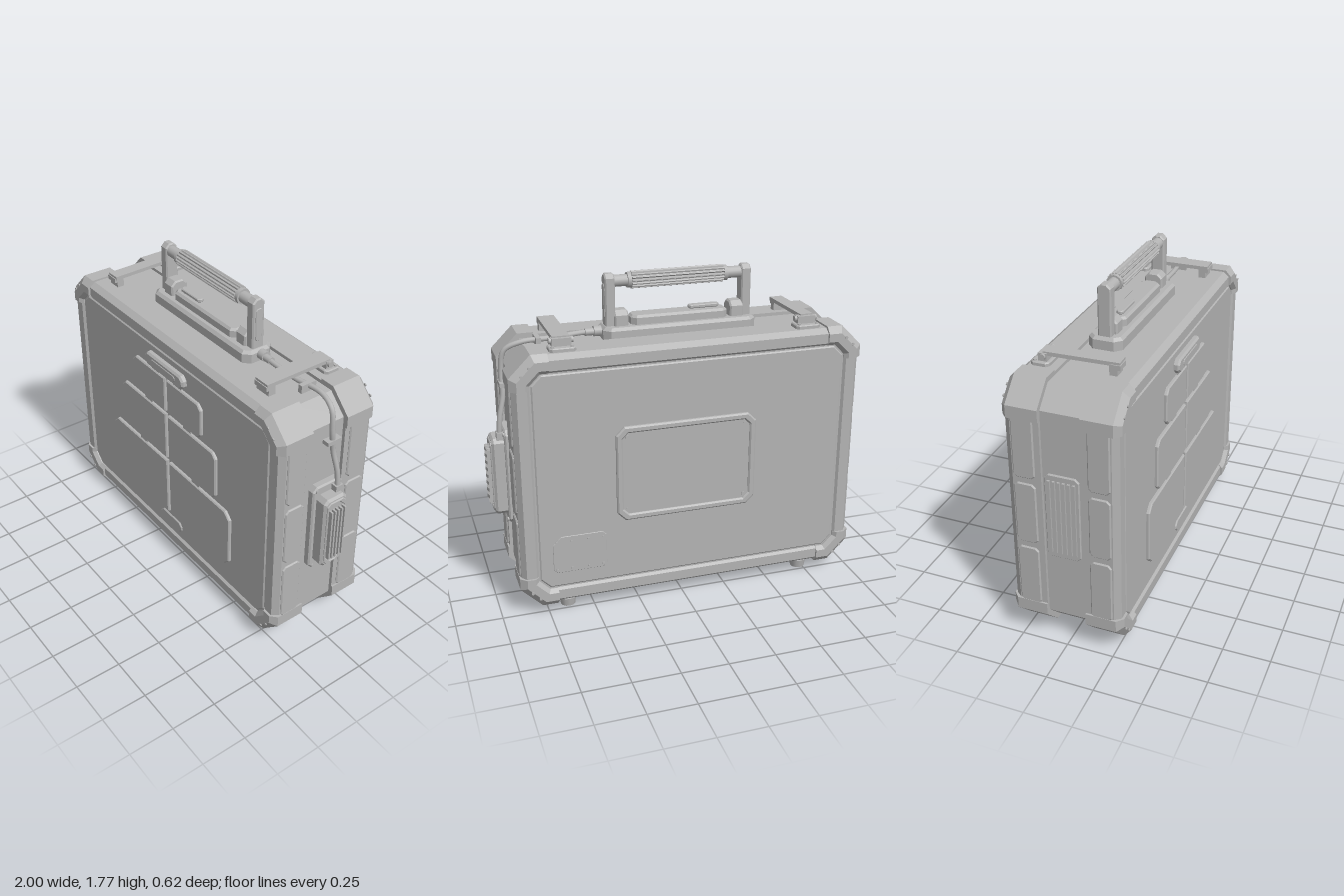
import * as THREE from 'three';

const grey = new THREE.MeshStandardMaterial({ color: 0xb4b4b4 });
grey.name = 'case grey';

// Case outline: a chamfered rectangle
const CX = -0.05, CY = 0.7525, W = 0.95, H = 0.7025, CHAMFER = 0.115;

// Skins closed polygon sections in order, caps both ends and faces outward
function loft(sections) {
  const n = sections[0].length, tris = [];
  for (let i = 0; i + 1 < sections.length; i++) {
    for (let j = 0; j < n; j++) {
      const k = (j + 1) % n, a = sections[i], b = sections[i + 1];
      tris.push([a[j], a[k], b[k]], [a[j], b[k], b[j]]);
    }
  }
  const first = sections[0], last = sections[sections.length - 1];
  for (let j = 1; j + 1 < n; j++) {
    tris.push([first[0], first[j + 1], first[j]], [last[0], last[j], last[j + 1]]);
  }
  const o = first[0];
  let volume = 0;
  for (const [a, b, c] of tris) {
    volume += a.clone().sub(o).dot(b.clone().sub(o).cross(c.clone().sub(o)));
  }
  const points = tris.flatMap(([a, b, c]) => (volume < 0 ? [a, c, b] : [a, b, c]));
  const g = new THREE.BufferGeometry().setFromPoints(points);
  g.computeVertexNormals();
  return g;
}

// Case outline moved inward by d, at depth z
function ring(d, z) {
  const w = W - d, h = H - d, c = CHAMFER - 0.586 * d;
  return [[w, h - c], [w - c, h], [c - w, h], [-w, h - c], [-w, c - h], [c - w, -h], [w - c, -h], [w, c - h]]
    .map(([x, y]) => new THREE.Vector3(CX + x, CY + y, z));
}

// Protective corner piece swept round one chamfered corner
function cornerGuard(sx, sy, sz) {
  const profile = [[0, 0.105], [0, 0.268], [0.035, 0.3], [0.08, 0.3], [0.1, 0.28], [0.1, 0.105]];
  const station = (f) => profile.map(([d, z]) => {
    const [x, y] = f(d, CHAMFER - 0.586 * d);
    return new THREE.Vector3(CX + sx * x, CY + sy * y, sz * z);
  });
  return loft([
    station((d) => [W - 0.2, H - d]),
    station((d, c) => [W - d - c, H - d]),
    station((d, c) => [W - d, H - d - c]),
    station((d) => [W - d, H - 0.18]),
  ]);
}

// Rectangle with cut corners, in order: bottom left, bottom right, top right, top left
function cutRect(u0, u1, v0, v1, [a, b, c, d], Type = THREE.Shape) {
  const pts = [[u0, v0 + a], [u0 + a, v0], [u1 - b, v0], [u1, v0 + b], [u1, v1 - c], [u1 - c, v1], [u0 + d, v1], [u0, v1 - d]];
  return new Type(pts.map((p) => new THREE.Vector2(...p)));
}

const faces = {
  front: [0, 0, [0, 0, 1]], back: [0, Math.PI, [0, 0, -1]],
  right: [0, Math.PI / 2, [1, 0, 0]], left: [0, -Math.PI / 2, [-1, 0, 0]],
  top: [-Math.PI / 2, 0, [0, 1, 0]],
};

export function createModel() {
  const model = new THREE.Group();
  model.name = 'equipment case';

  function add(name, geometry, x = 0, y = 0, z = 0) {
    const mesh = new THREE.Mesh(geometry, grey);
    mesh.name = name;
    mesh.position.set(x, y, z);
    model.add(mesh);
    return mesh;
  }
  const box = (name, x0, x1, y0, y1, z0, z1) =>
    add(name, new THREE.BoxGeometry(x1 - x0, y1 - y0, z1 - z0), (x0 + x1) / 2, (y0 + y1) / 2, (z0 + z1) / 2);

  // Bevelled plate standing on a face; u runs rightward as that face is seen
  function plate(name, face, base, depth, [u0, u1, v0, v1], cuts, bevel = 0.006, hole) {
    const shape = cutRect(u0, u1, v0, v1, Array.isArray(cuts) ? cuts : [cuts, cuts, cuts, cuts]);
    if (hole) shape.holes.push(cutRect(u0 + hole, u1 - hole, v0 + hole, v1 - hole, [0.03, 0.03, 0.03, 0.03], THREE.Path));
    const g = new THREE.ExtrudeGeometry(shape, {
      depth: depth - bevel, bevelEnabled: bevel > 0, bevelThickness: bevel,
      bevelSize: bevel, bevelOffset: -bevel, bevelSegments: 1,
    });
    const [rx, ry, n] = faces[face];
    const mesh = add(name, g, n[0] * base, n[1] * base, n[2] * base);
    mesh.rotation.set(rx, ry, 0);
    return mesh;
  }
  function rod(name, radius, length, x, y, z, axis, sides = 16) {
    const mesh = add(name, new THREE.CylinderGeometry(radius, radius, length, sides), x, y, z);
    if (axis === 'x') mesh.rotation.z = Math.PI / 2;
    if (axis === 'z') mesh.rotation.x = Math.PI / 2;
    return mesh;
  }

  // Two shells with sunken panels around a recessed core
  add('core', loft([ring(0.028, -0.13), ring(0.028, 0.13)]));
  for (const s of [1, -1]) {
    const rings = [[0.01, 0.105], [0.01, 0.255], [0.035, 0.287], [0.088, 0.287], [0.1, 0.274], [0.108, 0.274], [0.115, 0.28]];
    add(s > 0 ? 'frontShell' : 'backShell', loft(rings.map(([d, z]) => ring(d, s * z))));
    for (const sx of [1, -1]) {
      for (const sy of [1, -1]) {
        add('cornerGuard', cornerGuard(sx, sy, s));
        for (const [dx, dy] of [[0.1, 0.06], [0.06, 0.1]]) {
          rod('guardRivet', 0.008, 0.006, CX + sx * (W - dx), CY + sy * (H - dy), s * 0.301, 'z', 8);
        }
      }
      // Raised pads along the shell sides
      const face = sx > 0 ? 'right' : 'left', mid = -s * sx * 0.192;
      for (const y of [0.22, 0.59, 0.96]) {
        plate('sidePad', face, sx > 0 ? 0.885 : 0.985, 0.013, [mid - 0.057, mid + 0.057, y, y + 0.34], 0.018);
      }
    }
  }

  // Front: stacked pads, joining tabs and two labels
  for (const [y0, y1, reach, cut] of [[1.0, 1.21, 0.315, 0.03], [0.685, 0.98, 0.44, 0.03], [0.3, 0.665, 0.56, 0.04]]) {
    plate('frontPad', 'front', 0.275, 0.023, [CX - reach, CX - 0.01, y0, y1], [cut, 0, 0, cut]);
    plate('frontPad', 'front', 0.275, 0.023, [CX + 0.01, CX + reach, y0, y1], [0, cut, cut, 0]);
  }
  for (const [y, off] of [[1.217, 0.1], [0.99, 0.18], [0.675, 0.25]]) {
    for (const s of [1, -1]) box('padTab', CX + s * off - 0.035, CX + s * off + 0.035, y - 0.012, y + 0.012, 0.27, 0.29);
  }
  plate('upperLabelFrame', 'front', 0.275, 0.035, [-0.225, 0.125, 1.228, 1.308], 0.025, 0.01);
  plate('upperLabelSlot', 'front', 0.308, 0.005, [-0.16, 0.06, 1.25, 1.286], 0.01, 0.003);
  plate('lowerLabel', 'front', 0.275, 0.013, [-0.155, 0.055, 0.2, 0.27], 0.025);

  // Back: framed panel and small plate with screws
  plate('backPanel', 'back', 0.275, 0.012, [-0.36, 0.39, 0.51, 1.02], 0.03, 0);
  plate('backPanelFrame', 'back', 0.275, 0.024, [-0.37, 0.4, 0.5, 1.03], 0.045, 0.008, 0.035);
  plate('backTag', 'back', 0.275, 0.009, [-0.72, -0.43, 0.24, 0.45], [0.02, 0.02, 0.02, 0.045], 0.002);
  for (const [x0, x1, y0, y1, r] of [[-0.34, 0.31, 0.56, 0.97, 0.011], [0.45, 0.7, 0.26, 0.42, 0.007], [0.53, 0.62, 0.26, 0.42, 0.007]]) {
    for (const x of [x0, x1]) for (const y of [y0, y1]) rod('backScrew', r, 0.01, x, y, -0.286, 'z', 10);
  }

  // Carry handle with a ribbed grip
  plate('handleBase', 'top', 1.42, 0.072, [-0.47, 0.365, -0.09, 0.09], 0.035, 0.015);
  plate('handleBed', 'top', 1.48, 0.06, [-0.32, 0.21, -0.055, 0.055], 0.025, 0.012);
  plate('handleCatch', 'top', 1.545, 0.015, [-0.285, -0.115, -0.03, 0.01], 0.012, 0.004);
  rod('handleCatchPin', 0.018, 0.03, -0.25, 1.54, 0.01, 'y', 10);
  for (const s of [1, -1]) {
    plate('handlePost', 'right', CX + s * 0.372 - 0.023, 0.046, [-0.036, 0.036, 1.48, 1.762], [0, 0, 0.022, 0.022], 0.007);
    plate('postInset', s > 0 ? 'right' : 'left', s > 0 ? 0.342 : 0.442, 0.007, [-0.02, 0.02, 1.53, 1.71], 0.01, 0.003);
    plate('handleLug', 'right', CX + s * 0.317 - 0.034, 0.068, [-0.05, 0.05, 1.48, 1.572], [0, 0, 0.025, 0.025], 0.008);
    rod('gripCollar', 0.041, 0.02, CX + s * 0.262, 1.72, 0, 'x');
  }
  rod('handleBar', 0.031, 0.72, CX, 1.72, 0, 'x');
  const ribs = Array.from({ length: 64 }, (_, i) => {
    const a = (i / 64) * Math.PI * 2, r = i % 4 < 2 ? 0.046 : 0.039;
    return new THREE.Vector2(Math.cos(a) * r, Math.sin(a) * r);
  });
  const grip = add('ribbedGrip', new THREE.ExtrudeGeometry(new THREE.Shape(ribs), { depth: 0.5, bevelEnabled: false }), CX - 0.25, 1.72, 0);
  grip.rotation.y = Math.PI / 2;

  // Latch straps bridging the two shells
  for (const [x, w, tilt] of [[-0.705, 0.036, -0.03], [0.615, 0.045, 0]]) {
    const strap = box('latchStrap', x - w, x + w, 1.492, 1.512, -0.19, 0.195);
    strap.rotation.y = -tilt;
    box('strapFoot', x - w, x + w, 1.43, 1.5, 0.145, 0.185);
    box('strapHook', x - w, x + w, 1.475, 1.5, 0.17, 0.2);
    plate('latchPlate', 'top', 1.435, 0.03, [x - 0.068, x + 0.068, 0.15, 0.245], 0.015, 0.005);
    box('latchBlock', x - 0.05, x + 0.05, 1.45, 1.505, -0.21, -0.165);
    rod('latchPin', 0.016, 0.125, x, 1.49, -0.185, 'x', 10);
    for (const s of [1, -1]) rod('latchRivet', 0.009, 0.01, x + s * 0.05, 1.466, -0.225, 'y', 8);
  }

  // Cable from the handle base over the corner to the side module
  const path = [[0.36, 1.465, -0.005], [0.46, 1.462, 0], [0.62, 1.452, -0.01], [0.79, 1.45, -0.03], [0.875, 1.41, -0.02],
    [0.895, 1.3, -0.015], [0.895, 1.18, -0.03], [0.92, 1.06, -0.045], [0.93, 0.95, -0.048]];
  const curve = new THREE.CatmullRomCurve3(path.map((p) => new THREE.Vector3(...p)));
  add('cable', new THREE.TubeGeometry(curve, 60, 0.014, 10));
  rod('cablePlug', 0.028, 0.04, 0.385, 1.465, -0.004, 'x', 12);
  rod('cableSleeve', 0.02, 0.05, 0.425, 1.463, -0.002, 'x', 12);
  box('topCableClip', 0.69, 0.715, 1.42, 1.47, -0.06, 0.03);
  box('sideCableClip', 0.86, 0.912, 1.228, 1.25, -0.065, 0.02);

  // Finned module on the right side
  plate('moduleBase', 'right', 0.865, 0.045, [-0.09, 0.098, 0.475, 1.0], 0.025, 0.008);
  plate('moduleBody', 'right', 0.9, 0.075, [-0.068, 0.076, 0.522, 0.952], 0.022, 0.012);
  plate('moduleRim', 'right', 0.97, 0.012, [-0.055, 0.063, 0.54, 0.935], 0.018, 0.004, 0.012);
  for (let i = 0; i < 5; i++) {
    const z = -0.004 + (i - 2) * 0.021;
    box('moduleFin', 0.965, 1.0, 0.585, 0.89, z - 0.005, z + 0.005);
  }
  box('moduleSocket', 0.9, 0.945, 0.945, 0.985, -0.07, -0.025);
  for (const y of [0.495, 0.978]) for (const z of [-0.075, 0.066]) rod('moduleScrew', 0.01, 0.012, 0.911, y, z, 'x', 8);

  // Vent on the left side
  plate('ventPlate', 'left', 0.965, 0.018, [-0.095, 0.085, 0.53, 1.0], 0.02, 0.004);
  for (let i = 0; i < 6; i++) {
    const z = -0.005 + (i - 2.5) * 0.026;
    box('ventRib', -0.994, -0.975, 0.56, 0.97, z - 0.007, z + 0.007);
  }

  // Feet and hinges underneath
  for (const s of [1, -1]) {
    for (const x of [-0.73, 0.635]) {
      add('foot', new THREE.CylinderGeometry(0.047, 0.04, 0.045, 12), x, 0.0225, s * 0.197);
      rod('footCollar', 0.036, 0.03, x, 0.055, s * 0.197, 'y', 12);
    }
    for (const x of [-0.47, 0.372]) {
      for (const k of [-1, 0, 1]) rod('hingeKnuckle', 0.018, 0.054, x + k * 0.058, 0.03, s * 0.109, 'x', 12);
      rod('hingePin', 0.01, 0.17, x, 0.03, s * 0.109, 'x', 8);
      box('hingeLeaf', x - 0.085, x + 0.085, 0.025, 0.085, s * 0.109 - 0.006, s * 0.109 + 0.006);
    }
  }
  return model;
}
